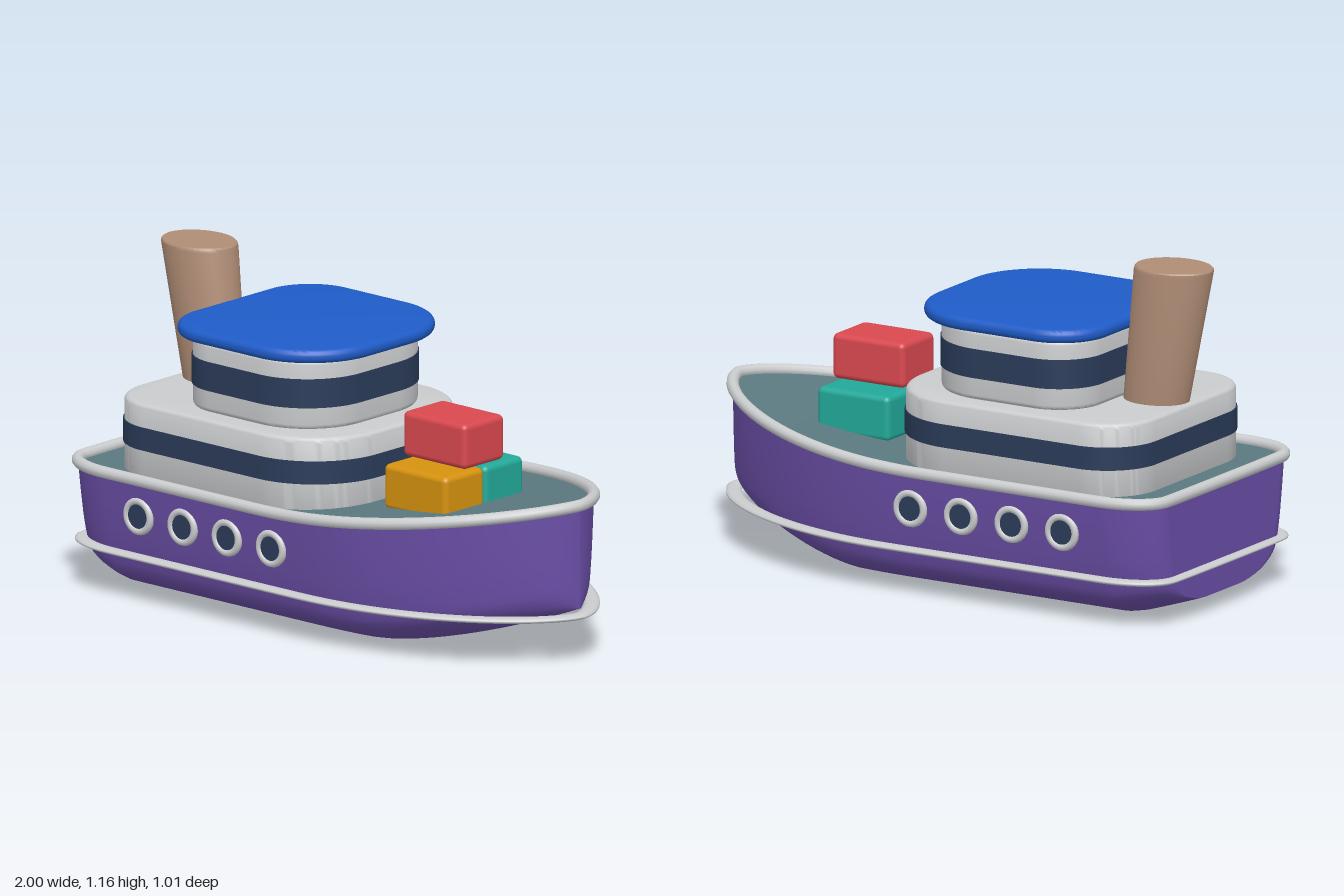
import * as THREE from 'three';
import { toCreasedNormals } from 'three/addons/utils/BufferGeometryUtils.js';
import { RoundedBoxGeometry } from 'three/addons/geometries/RoundedBoxGeometry.js';

const mat = (name, color, side = THREE.FrontSide) => {
  const m = new THREE.MeshStandardMaterial({ color, side });
  m.name = name;
  return m;
};

// Hull lines: half-width, sheer height and keel height along x
const halfWidth = (x) => {
  if (x < -0.77) {
    const t = (x + 0.97) / 0.2;
    return 0.36 + 0.125 * Math.sqrt(Math.max(0, 1 - (1 - t) ** 2));
  }
  if (x <= 0.1) return 0.485;
  return 0.485 * Math.max(0, 1 - ((x - 0.1) / 0.87) ** 2) ** 0.65;
};
const sheer = (x) => 0.445 + 0.107 * (Math.max(0, x + 0.05) / 1.02) ** 1.6;
const keel = (x) => {
  if (x < -0.78) return 0.06 * (-0.78 - x) / 0.19;
  return x > 0.3 ? 0.19 * ((x - 0.3) / 0.67) ** 1.4 : 0;
};

// Station positions, closer together at the stern corners and the bow
const stations = [];
for (let i = 0; i <= 10; i++) stations.push(-0.97 + 0.2 * (1 - Math.cos(i / 10 * Math.PI / 2)));
for (const x of [-0.6, -0.4, -0.2, 0]) stations.push(x);
for (let i = 0; i <= 28; i++) stations.push(0.1 + 0.87 * Math.sin(i / 28 * Math.PI / 2));

// Surface through rows of points
function loft(rows) {
  const n = rows[0].length, index = [];
  for (let i = 0; i < rows.length - 1; i++) {
    for (let j = 0; j < n - 1; j++) {
      const a = i * n + j, b = a + n;
      index.push(a, a + 1, b, a + 1, b + 1, b);
    }
  }
  const g = new THREE.BufferGeometry().setFromPoints(rows.flat());
  g.setIndex(index);
  g.computeVertexNormals();
  return g;
}

// Half cross-section: width fraction against height fraction, sheer to keel
const section = new THREE.CatmullRomCurve3([
  [1, 1], [0.96, 0.68], [0.907, 0.37], [0.845, 0.19], [0.70, 0.085], [0.5, 0.025], [0.3, 0], [0, 0],
].map(([w, h]) => new THREE.Vector3(w, h, 0))).getPoints(28);
const sectionAt = (x) => {
  const w = halfWidth(x), k = keel(x), h = sheer(x) - k;
  const half = section.map((p) => new THREE.Vector3(x, k + h * Math.max(0, p.y), w * p.x));
  const other = half.slice(0, -1).reverse().map((p) => new THREE.Vector3(x, p.y, -p.z));
  return [...half, ...other];
};

// Closed plan outline of the hull at a given height rule
function outline(widthScale, height) {
  const side = stations.map((x) => new THREE.Vector3(x, height(x), halfWidth(x) * widthScale));
  const back = side.slice(0, -1).reverse().map((p) => new THREE.Vector3(p.x, p.y, -p.z));
  return new THREE.CatmullRomCurve3([...side, ...back], true);
}

// Rounded slab seen from above, with its own radius for aft and fore corners
function slab(x0, x1, z, y0, y1, aft, fore, bevel) {
  const s = new THREE.Shape();
  const b = bevel;
  s.moveTo(x0 + aft, -z);
  s.lineTo(x1 - fore, -z);
  s.absarc(x1 - fore, -z + fore, fore, -Math.PI / 2, 0);
  s.absarc(x1 - fore, z - fore, fore, 0, Math.PI / 2);
  s.absarc(x0 + aft, z - aft, aft, Math.PI / 2, Math.PI);
  s.absarc(x0 + aft, -z + aft, aft, Math.PI, Math.PI * 1.5);
  const g = new THREE.ExtrudeGeometry(s, {
    depth: y1 - y0 - 2 * b, curveSegments: 14, bevelEnabled: b > 0,
    bevelSize: b, bevelThickness: b, bevelOffset: -b, bevelSegments: 4,
  });
  g.rotateX(-Math.PI / 2).translate(0, y0 + b, 0);
  return toCreasedNormals(g, 0.6);
}

export function createModel() {
  const model = new THREE.Group();
  model.name = 'toyBoat';
  const purple = mat('hullPurple', 0x6b4fa8);
  const grey = mat('paleGrey', 0xcbccce);
  const navy = mat('windowNavy', 0x2a3b59);
  const blue = mat('roofBlue', 0x1f5cc8);
  const teal = mat('deckTeal', 0x5b7980, THREE.DoubleSide);
  const brown = mat('funnelBrown', 0xb08d76);
  const red = mat('crateRed', 0xd9484f);
  const orange = mat('crateOrange', 0xd6920f);
  const green = mat('crateGreen', 0x22a999);
  const add = (name, geometry, material, parent = model) => {
    const m = new THREE.Mesh(geometry, material);
    m.name = name;
    parent.add(m);
    return m;
  };

  // Hull shell, flat transom and deck
  add('hull', loft(stations.map(sectionAt)), purple);
  const end = sectionAt(stations[0]);
  const transom = new THREE.BufferGeometry().setFromPoints(end);
  const fan = [];
  for (let j = 1; j < end.length - 1; j++) fan.push(0, j + 1, j);
  transom.setIndex(fan);
  transom.computeVertexNormals();
  add('transom', transom, purple);
  add('deck', loft(stations.map((x) => [-1, 1].map(
    (s) => new THREE.Vector3(x, sheer(x) - 0.008, s * halfWidth(x) * 0.995)))), teal);

  // Gunwale rail and flattened rubbing strake
  add('gunwaleRail', new THREE.TubeGeometry(outline(1, sheer), 220, 0.021, 10, true), grey);
  const strake = new THREE.TubeGeometry(outline(0.94, () => 0), 220, 0.028, 10, true);
  strake.scale(1, 0.36, 1).translate(0, 0.165, 0);
  add('rubbingStrake', strake, grey);

  // Portholes on both sides
  for (const s of [1, -1]) {
    for (let i = 0; i < 4; i++) {
      const hole = new THREE.Group();
      hole.name = 'porthole';
      hole.position.set(-0.62 + i * 0.202, 0.315, s * 0.472);
      if (s < 0) hole.rotation.y = Math.PI;
      add('portholeRing', new THREE.TorusGeometry(0.053, 0.013, 10, 32), grey, hole);
      const glass = new THREE.CylinderGeometry(0.05, 0.05, 0.03, 32);
      add('portholeGlass', glass.rotateX(Math.PI / 2).translate(0, 0, -0.008), navy, hole);
      model.add(hole);
    }
  }

  // Two-storey deckhouse with window bands and roof
  add('lowerCabin', slab(-0.84, 0.163, 0.419, 0.42, 0.69, 0.19, 0.28, 0.02), grey);
  add('lowerWindowBand', slab(-0.844, 0.167, 0.423, 0.53, 0.61, 0.194, 0.284, 0), navy);
  add('upperCabin', slab(-0.588, 0.053, 0.339, 0.685, 0.935, 0.17, 0.24, 0.02), grey);
  add('upperWindowBand', slab(-0.592, 0.057, 0.343, 0.765, 0.866, 0.174, 0.244, 0), navy);
  add('roof', slab(-0.63, 0.108, 0.383, 0.933, 0.981, 0.19, 0.27, 0.022), blue);

  // Raked oval funnel, flaring upward
  const profile = [[0, 0], [0.82, 0], [0.993, 0.97], [0.985, 0.99], [0.95, 1], [0, 1]];
  const funnel = new THREE.LatheGeometry(profile.map(([r, h]) => new THREE.Vector2(r, h)), 40);
  const p = funnel.attributes.position;
  for (let i = 0; i < p.count; i++) {
    const h = p.getY(i);
    p.setXYZ(i, p.getX(i) * 0.144 - 0.7 - 0.072 * h, 0.68 + 0.483 * h, p.getZ(i) * 0.115);
  }
  add('funnel', toCreasedNormals(funnel, 0.6), brown);

  // Cargo crates
  for (const [name, y, z, m] of [
    ['orangeCrate', 0.526, 0.099, orange], ['greenCrate', 0.526, -0.099, green], ['redCrate', 0.692, 0, red],
  ]) {
    add(name, new RoundedBoxGeometry(0.288, 0.158, z ? 0.196 : 0.204, 3, 0.02), m).position.set(0.391, y, z);
  }
  return model;
}
